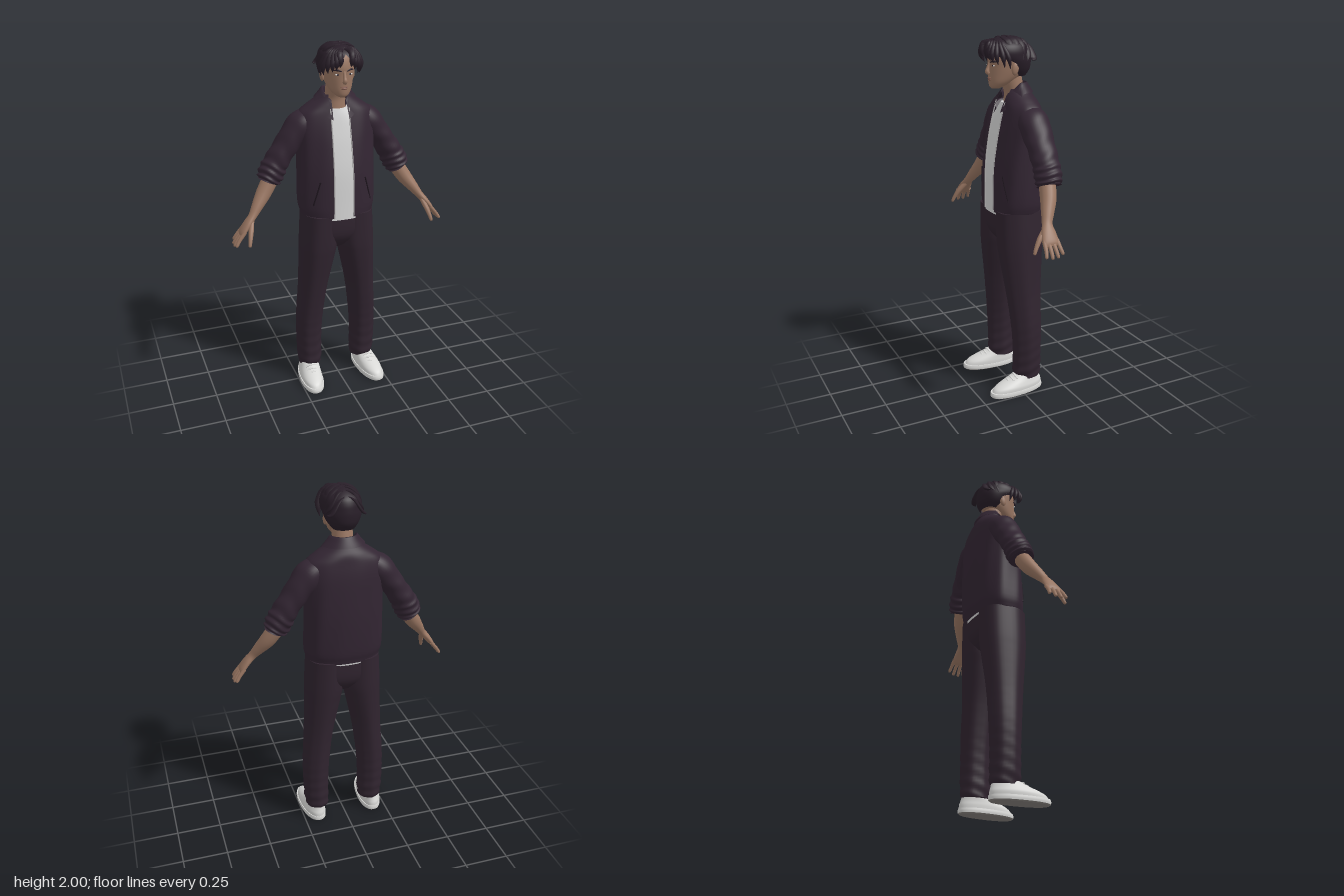
import * as THREE from 'three';

const mat = (name, color, side = THREE.FrontSide) => {
  const m = new THREE.MeshStandardMaterial({ color, side });
  m.name = name;
  return m;
};

// Smoothly subdivide key rows [x, y, z, ru, rv, power, frontGap]
function refine(keys, sub) {
  const rows = keys.map(k => [...k, ...[0, 0, 0, 0.03, k[3], 2, 0].slice(k.length)]);
  const out = [];
  const at = i => rows[Math.min(Math.max(i, 0), rows.length - 1)];
  for (let i = 0; i < rows.length - 1; i++) {
    for (let s = 0; s < sub; s++) {
      const t = s / sub;
      out.push(rows[i].map((b, c) => {
        const a = at(i - 1)[c], d = at(i + 1)[c], e = at(i + 2)[c];
        return b + 0.5 * t * (d - a + t * (2 * a - 5 * b + 4 * d - e + t * (3 * (b - d) + e - a)));
      }));
    }
  }
  out.push(rows[rows.length - 1]);
  return out;
}

// Skin a set of superellipse rings; limb rings follow the path, others stay level
function loft(keys, { limb = false, segs = 32, sub = 4, rule = null } = {}) {
  const rows = refine(keys, sub), open = rows.some(r => r[6] > 0);
  const pos = [], idx = [], n = open ? segs + 1 : segs;
  const P = r => new THREE.Vector3(r[0], r[1], r[2]);
  rows.forEach((r, i) => {
    const u = new THREE.Vector3(1, 0, 0), v = new THREE.Vector3(0, 0, 1);
    if (limb) {
      const T = P(rows[Math.min(i + 1, rows.length - 1)]).sub(P(rows[Math.max(i - 1, 0)])).normalize();
      v.addScaledVector(T, -T.z).normalize();
      u.crossVectors(T, v);
    }
    const ru = Math.max(r[3], 0.0005), rv = Math.max(r[4], 0.0005), e = 2 / r[5];
    const a = Math.acos(Math.pow(Math.min(Math.max(r[6] / ru, 0), 1), r[5] / 2));
    for (let j = 0; j < n; j++) {
      const w = Math.PI - a + (Math.PI + 2 * a) * j / segs, c = Math.cos(w), s = Math.sin(w);
      const p = P(r).addScaledVector(u, ru * Math.sign(c) * Math.abs(c) ** e)
        .addScaledVector(v, rv * Math.sign(s) * Math.abs(s) ** e);
      if (rule) rule(p, i / (rows.length - 1), w, P(r));
      pos.push(p.x, p.y, p.z);
    }
  });
  for (let i = 0; i < rows.length - 1; i++) for (let j = 0; j < segs; j++) {
    const a = i * n + j, b = i * n + (j + 1) % n;
    idx.push(a, a + n, b, b, a + n, b + n);
  }
  if (!open) for (const i of [0, rows.length - 1]) {
    const base = pos.length / 3, c = [0, 0, 0];
    for (let j = 0; j < n; j++) for (let k = 0; k < 3; k++) {
      const q = pos[(i * n + j) * 3 + k];
      pos.push(q);
      c[k] += q / n;
    }
    pos.push(...c);
    for (let j = 0; j < n; j++) {
      const a = base + j, b = base + (j + 1) % n;
      idx.push(...(i ? [a, base + n, b] : [a, b, base + n]));
    }
  }
  const g = new THREE.BufferGeometry();
  g.setAttribute('position', new THREE.Float32BufferAttribute(pos, 3));
  g.setIndex(idx);
  g.computeVertexNormals();
  g.userData = { n, rows: rows.length };
  return g;
}

export function createModel() {
  const model = new THREE.Group();
  const skin = mat('skin', 0x9a7763), lip = mat('lips', 0x845c50), dark = mat('seams', 0x1f161f);
  const cloth = mat('jacket cloth', 0x322532, THREE.DoubleSide), trouser = mat('trouser cloth', 0x30242f);
  const hair = mat('hair', 0x281e28, THREE.DoubleSide), shirt = mat('shirt', 0xd4d4d4);
  const shoe = mat('shoe white', 0xd8d8d6), tread = mat('tread', 0x85807c), metal = mat('zip', 0xb4b2b2);
  const add = (name, geo, m) => {
    const mesh = new THREE.Mesh(geo, m);
    mesh.name = name;
    model.add(mesh);
    return mesh;
  };
  const limb = (name, keys, m, o = {}) => add(name, loft(keys, { limb: true, segs: 14, ...o }), m);
  const ball = (name, m, p, s) => {
    const b = add(name, new THREE.SphereGeometry(1, 20, 14), m);
    b.position.set(...p);
    b.scale.set(...s);
    return b;
  };
  // Push a point away from its ring centre
  const swell = (p, c, d) => p.addScaledVector(p.clone().sub(c).normalize(), d);

  // Shirt and open jacket
  add('shirt', loft([[0, 1.042, -.03, .196, .131, 2.4], [0, 1.12, -.035, .2, .133, 2.4], [0, 1.3, -.042, .2, .133, 2.4],
    [0, 1.45, -.05, .195, .12, 2.4], [0, 1.55, -.055, .17, .104, 2.3], [0, 1.61, -.055, .12, .09], [0, 1.645, -.05, .07, .074]]), shirt);
  const jacket = loft([[0, 1.055, -.03, .2, .135, 2.4, .055], [0, 1.075, -.031, .207, .138, 2.4, .055],
    [0, 1.13, -.036, .216, .144, 2.4, .055], [0, 1.3, -.042, .214, .144, 2.4, .054], [0, 1.45, -.05, .214, .131, 2.4, .053],
    [0, 1.55, -.057, .218, .117, 2.4, .052], [0, 1.62, -.06, .205, .103, 2.3, .052], [0, 1.66, -.06, .16, .094, 2.1, .053],
    [0, 1.69, -.057, .115, .082, 2, .055], [0, 1.72, -.055, .075, .066, 2, .05]], {
    segs: 64, rule: (p, t, w, c) => swell(p, c, t < .8 ? .0025 * Math.sin(w * 9 + p.y * 7) * Math.sin(t * 3.9) : 0)
  });
  add('jacketBody', jacket, cloth);
  add('collar', loft([[0, 1.7, -.04, .118, .106, 2, .045], [0, 1.728, -.042, .092, .088, 2, .042], [0, 1.752, -.045, .069, .066, 2, .04],
    [0, 1.7, -.045, .062, .06, 2, .04]], { sub: 3, segs: 40, rule: p => { p.y -= Math.max(0, p.z + .05) * .95; } }), cloth);
  // Zip teeth line along both jacket edges
  const { n, rows } = jacket.userData, jp = jacket.attributes.position;
  for (const j of [0, n - 1]) {
    const pts = [];
    for (let i = 0; i < rows - 9; i++) pts.push(new THREE.Vector3().fromBufferAttribute(jp, i * n + j));
    add('zip', new THREE.TubeGeometry(new THREE.CatmullRomCurve3(pts), 60, .0035, 6), metal);
  }

  // Hips and trousers
  add('hips', loft([[0, .84, -.03, .02, .03], [0, .88, -.03, .12, .085], [0, .95, -.031, .2, .126, 2.4], [0, 1.07, -.031, .197, .13, 2.4]]), trouser);

  // Head and neck
  add('neck', loft([[0, 1.6, -.055, .07, .07], [0, 1.66, -.05, .06, .058], [0, 1.71, -.045, .055, .055], [0, 1.79, -.02, .055, .065]]), skin);
  add('head', loft([[0, 1.722, .062, .018, .024], [0, 1.735, .053, .038, .043], [0, 1.76, .03, .058, .07], [0, 1.8, .0, .074, .101],
    [0, 1.84, -.01, .082, .111], [0, 1.88, -.012, .086, .114], [0, 1.93, -.015, .08, .104], [0, 1.97, -.015, .05, .07], [0, 1.98, -.015, .01, .02]]), skin);
  limb('nose', [[0, 1.86, .097, .007], [0, 1.83, .106, .009], [0, 1.812, .111, .012], [0, 1.802, .104, .011]], skin);
  ball('upperLip', lip, [0, 1.778, .099], [.021, .004, .006]);
  ball('lowerLip', lip, [0, 1.77, .098], [.017, .005, .006]);

  // Hair cap, open over the face
  add('hairCap', loft([[0, 1.785, -.055, .058, .052, 2, .057], [0, 1.82, -.04, .084, .09, 2, .082], [0, 1.86, -.028, .1, .108, 2, .098],
    [0, 1.89, -.005, .106, .13, 2, .085], [0, 1.92, 0, .105, .13, 2, .03], [0, 1.95, 0, .092, .115], [0, 1.975, 0, .062, .08],
    [0, 1.988, 0, .032, .045], [0, 1.993, 0, .002, .002]], { segs: 48 }), hair);
  const crown = (x, z) => 1.88 + .113 * Math.sqrt(Math.max(0, 1 - (x / .108) ** 2 - (z / .137) ** 2));
  const fringe = [[.03, 1.885, .118], [.048, 1.872, .114], [.066, 1.862, .105], [.084, 1.852, .086], [.097, 1.838, .055], [.101, 1.83, .025]];

  for (const s of [1, -1]) {
    const side = s > 0 ? 'left' : 'right';
    const flip = keys => keys.map(([x, ...r]) => [x * s, ...r]);

    // Fringe locks falling from the centre parting, then crown locks swept back
    fringe.forEach(([x, y, z], k) => limb(side + 'FringeLock', flip([[.006, 1.968 - .003 * (k % 2), .082 - k * .012, .006, .008],
      [.02 + x * .4, 1.956, .118 - k * .012, .017, .012], [x * 1.04, (y + 1.945) / 2, z + .012, .016, .013], [x, y, z, .001]]), hair, { segs: 8 }));
    for (let k = 0; k < 6; k++) {
      const z = .075 - k * .034;
      limb(side + 'CrownLock', flip([[.003, crown(0, z) - .002, z, .004, .006], [.04, crown(.04, z - .012), z - .012, .007, .02],
        [.08, crown(.08, z - .026), z - .026, .008, .02], [.102, 1.87, (z - .04) * .75, .001]]), hair, { segs: 8 });
    }

    // Face details and ear
    ball(side + 'Eye', shirt, [s * .034, 1.844, .091], [.013, .005, .004]);
    ball(side + 'Iris', dark, [s * .033, 1.844, .0935], [.005, .005, .003]);
    limb(side + 'Brow', flip([[.014, 1.86, .099, .003], [.036, 1.867, .092, .005], [.057, 1.862, .073, .002]]), hair, { segs: 8 });
    ball(side + 'Ear', skin, [s * .084, 1.828, -.012], [.012, .034, .02]).rotation.x = -.15;

    // Sleeve with rolled folds toward the cuff
    limb(side + 'Sleeve', flip([[.12, 1.605, -.062, .045, .065], [.185, 1.558, -.066, .076, .085], [.262, 1.463, -.067, .066, .078],
      [.325, 1.37, -.066, .066, .073], [.35, 1.325, -.064, .071, .073], [.37, 1.285, -.06, .068, .07], [.381, 1.262, -.058, .058, .062]]), cloth,
    { segs: 36, sub: 8, rule: (p, t, w, c) => swell(p, c, .0055 * t * Math.sin(t * 44 + Math.sin(w * 2) * 1.6)) });
    limb(side + 'PocketWelt', flip([[.128, 1.27, .085, .004], [.147, 1.2, .078, .004], [.165, 1.135, .069, .004]]), dark, { segs: 6 });

    // Forearm, palm, fingers and thumb
    limb(side + 'Forearm', flip([[.36, 1.285, -.056, .044, .045], [.41, 1.208, -.037, .042, .043], [.457, 1.145, -.008, .031, .034],
      [.49, 1.1, .012, .022, .028], [.522, 1.063, .02, .019, .039], [.553, 1.022, .024, .015, .046], [.565, 1.005, .024, .006, .04]]), skin, { segs: 20 });
    [[-.013, -.024, .82], [.012, .006, .98], [.036, .038, 1], [.058, .07, .9]].forEach(([z0, z1, l]) =>
      limb(side + 'Finger', flip([[.545, 1.03, z0, .011, .012], [.553 + .028 * l, 1.02 - .034 * l, (z0 + z1) / 2, .01], [.553 + .047 * l, 1.02 - .064 * l, z1, .0085],
        [.553 + .051 * l, 1.02 - .071 * l, z1, .003]]), skin, { segs: 10 }));
    limb(side + 'Thumb', flip([[.498, 1.078, .028, .012, .015], [.514, 1.035, .066, .014], [.526, .993, .092, .011], [.532, .966, .104, .008], [.533, .961, .106, .002]]), skin, { segs: 10 });

    // Trouser leg with soft folds near the hem
    add(side + 'TrouserLeg', loft(flip([[.163, .085, -.05, .062, .076], [.165, .13, -.05, .07, .082], [.168, .25, -.05, .073, .082],
      [.163, .4, -.047, .077, .088], [.143, .6, -.038, .083, .102], [.118, .8, -.032, .099, .122, 2.15], [.107, .9, -.031, .106, .129, 2.2],
      [.1, 1.065, -.031, .103, .131, 2.2]]), { segs: 40, sub: 8, rule: (p, t, w, c) =>
      swell(p, c, .004 * (1 - t) ** 3 * Math.sin(p.y * 95 + Math.sin(w) * 2.5) + .0015 * Math.sin(w * 7)) }), trouser);
    limb(side + 'PocketSeam', flip([[.155, 1.04, .072, .003], [.172, .97, .064, .003], [.188, .9, .043, .003]]), dark, { segs: 6 });

    // Shoe: tread, sole, upper and laces, toes slightly outward
    const toe = p => { p.x += s * .07 * p.z; };
    const foot = (name, keys, m) => add(side + name, loft(flip(keys), { segs: 40, rule: toe }), m);
    foot('Tread', [[.18, 0, .025, .06, .158, 2.3], [.18, .007, .025, .066, .164, 2.3]], tread);
    foot('Sole', [[.18, .006, .025, .067, .165, 2.3], [.18, .018, .025, .068, .166, 2.3], [.18, .03, .024, .066, .163, 2.3]], shoe);
    foot('ShoeUpper', [[.18, .028, .022, .062, .158, 2.2], [.18, .048, .015, .062, .15, 2.2], [.178, .066, .0, .058, .13, 2.1],
      [.175, .085, -.023, .053, .102], [.172, .105, -.045, .048, .077], [.17, .118, -.052, .044, .068]], shoe);
    for (let k = 0; k < 4; k++) {
      const z = .034 + k * .021, y = .107 - k * .0115;
      limb(side + 'Lace', flip([[.147, y - .013, z, .004], [.18, y, z + .004, .004, .006], [.213, y - .013, z, .004]]), shoe, { segs: 8 });
    }
  }
  return model;
}
